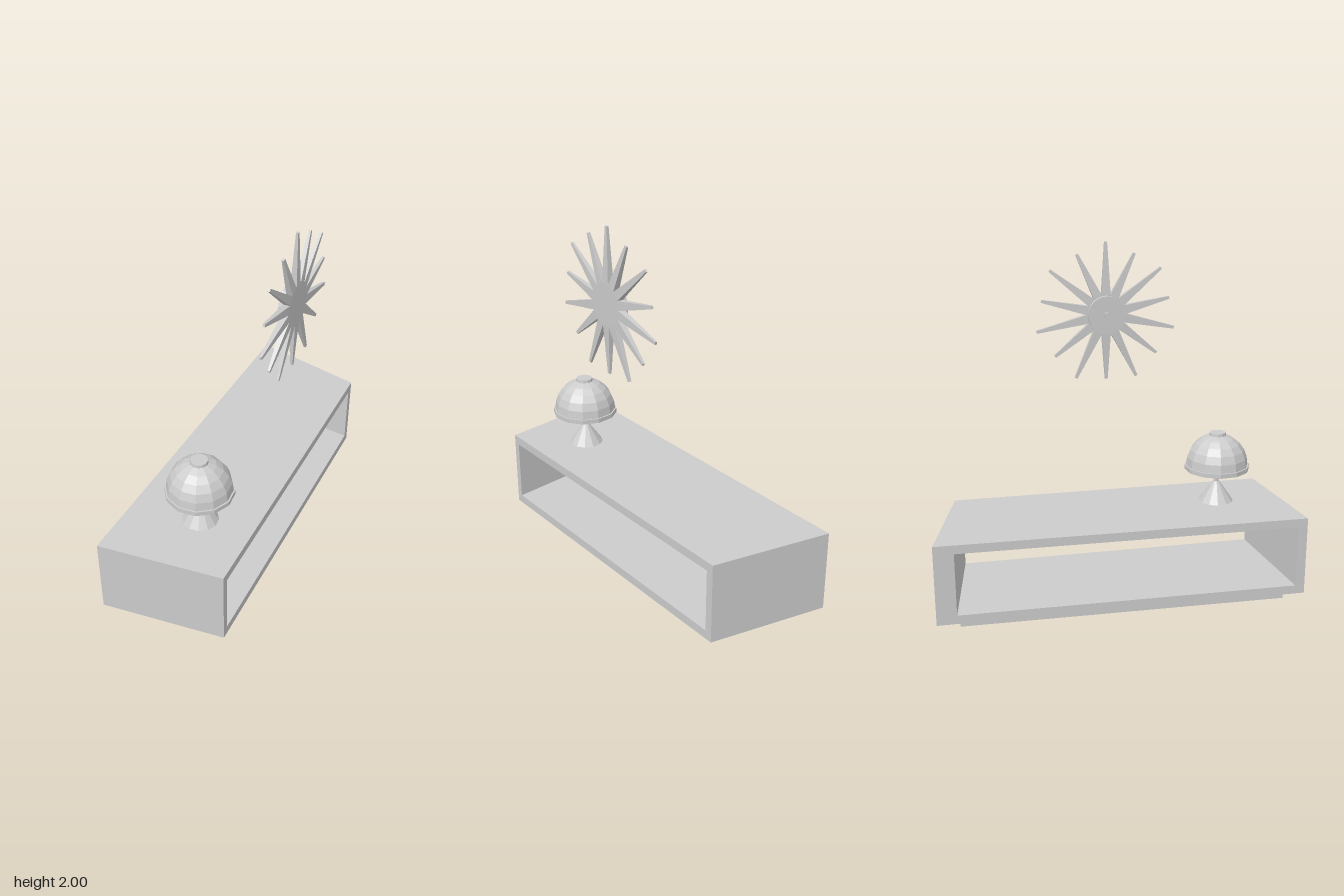
import * as THREE from 'three';

const material = new THREE.MeshStandardMaterial({ color: 0xcccccc, flatShading: true, side: THREE.DoubleSide });

function add(parent, name, geometry, y = 0) {
  const mesh = new THREE.Mesh(geometry, material);
  mesh.name = name;
  mesh.position.y = y;
  parent.add(mesh);
  return mesh;
}

// Upright prism over a plan outline of [x, z] corners
function prism(corners, y0, y1) {
  const shape = new THREE.Shape(corners.map(([x, z]) => new THREE.Vector2(x, -z)));
  const g = new THREE.ExtrudeGeometry(shape, { depth: y1 - y0, bevelEnabled: false });
  return g.rotateX(-Math.PI / 2).translate(0, y0, 0);
}

// Open four-sided console on a recessed plinth
function createConsole() {
  const console = new THREE.Group();
  console.name = 'console';
  const outer = [[-0.967, 0.403], [-0.46, 0.887], [0.963, -0.28], [0.662, -0.887]];
  const inner = [[-0.926, 0.368], [-0.43, 0.862], [0.93, -0.253], [0.575, -0.818]];
  const plinth = [[-0.85, 0.38], [-0.435, 0.79], [0.84, -0.26], [0.6, -0.76]];
  add(console, 'plinth', prism(plinth, 0, 0.052));
  add(console, 'bottomPanel', prism(outer, 0.05, 0.1));
  add(console, 'topPanel', prism(outer, 0.458, 0.508));
  add(console, 'rightEndPanel', prism([outer[0], outer[1], inner[1], inner[0]], 0.1, 0.458));
  add(console, 'leftEndPanel', prism([inner[3], inner[2], outer[2], outer[3]], 0.1, 0.458));
  return console;
}

// Table lamp: conical foot, stem, faceted dome shade
function createLamp() {
  const lamp = new THREE.Group();
  lamp.name = 'tableLamp';
  lamp.position.set(-0.393, 0.508, 0.44);
  add(lamp, 'lampFoot', new THREE.CylinderGeometry(0.018, 0.1, 0.12, 12), 0.06);
  add(lamp, 'lampStem', new THREE.CylinderGeometry(0.014, 0.014, 0.29, 12), 0.255);
  const profile = [new THREE.Vector2(0.189, 0.197), new THREE.Vector2(0.189, 0.222), new THREE.Vector2(0.18, 0.222)];
  for (let i = 1; i <= 5; i++) {
    const a = (i / 5) * 1.29;
    profile.push(new THREE.Vector2(0.18 * Math.cos(a), 0.222 + 0.185 * Math.sin(a)));
  }
  add(lamp, 'lampShade', new THREE.LatheGeometry(profile, 12));
  add(lamp, 'lampCap', new THREE.CylinderGeometry(0.047, 0.05, 0.022, 12), 0.405);
  return lamp;
}

// Sunburst wall clock: hub with alternating long and short tapered rays
function createClock() {
  const clock = new THREE.Group();
  clock.name = 'sunburstClock';
  clock.position.set(0.233, 1.592, 0.248);
  clock.rotation.y = 0.67;
  const rays = 14, hubRadius = 0.115, depth = 0.036;
  const start = hubRadius * Math.cos(Math.PI / rays);
  const rootWidth = 2 * hubRadius * Math.sin(Math.PI / rays);

  const hub = new THREE.CylinderGeometry(hubRadius, hubRadius, depth, rays);
  add(clock, 'clockHub', hub.rotateY(Math.PI / rays).rotateX(Math.PI / 2));

  for (let i = 0; i < rays; i++) {
    const tip = i % 2 ? 0.378 : 0.408;
    const g = new THREE.BoxGeometry(1, 1, 1);
    const p = g.attributes.position;
    for (let k = 0; k < p.count; k++) {
      const atTip = p.getY(k) > 0;
      p.setXYZ(k, p.getX(k) * (atTip ? 0.016 : rootWidth), atTip ? tip : start,
        p.getZ(k) * (atTip ? 0.012 : depth));
    }
    g.rotateZ(-(i / rays) * Math.PI * 2);
    g.computeVertexNormals();
    add(clock, 'clockRay', g);
  }

  // Dial, hands and pin on the reverse side
  add(clock, 'clockDial', new THREE.CylinderGeometry(0.108, 0.108, 0.03, 24).rotateX(Math.PI / 2).translate(0, 0, -0.031));
  add(clock, 'clockPin', new THREE.CylinderGeometry(0.018, 0.018, 0.014, 12).rotateX(Math.PI / 2).translate(0, 0, -0.052));
  [[0.09, 0.25], [0.06, 0.45]].forEach(([length, angle]) => {
    const hand = new THREE.BoxGeometry(length, 0.008, 0.004).translate(length / 2, 0, -0.049);
    add(clock, 'clockHand', hand.rotateZ(angle));
  });
  return clock;
}

export function createModel() {
  const model = new THREE.Group();
  model.name = 'consoleWithLampAndClock';
  model.add(createConsole(), createLamp(), createClock());
  return model;
}
